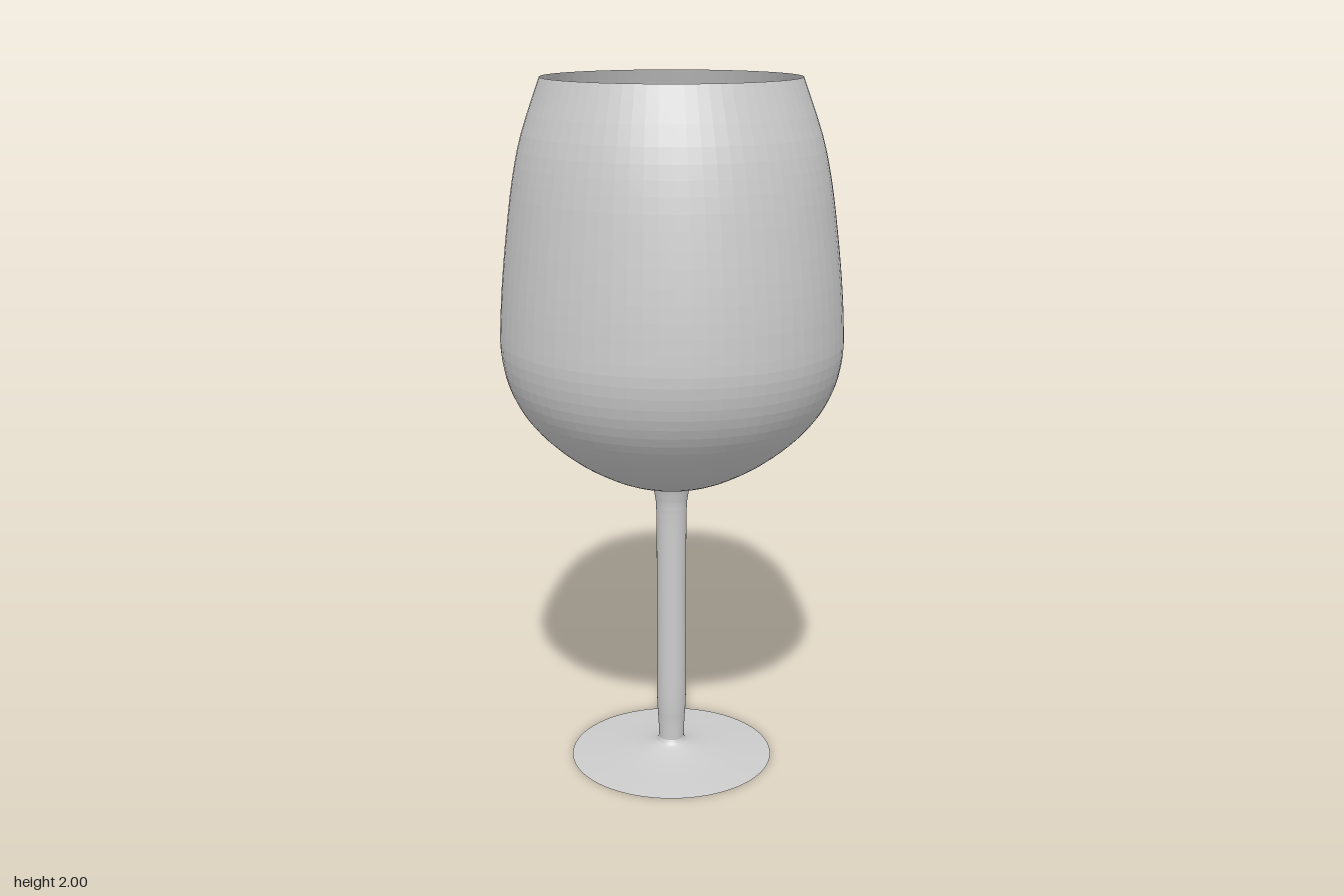
import * as THREE from 'three';

const SEGMENTS = 72;
const material = new THREE.MeshStandardMaterial({
  color: 0xcccccc, flatShading: true, side: THREE.DoubleSide,
});

// Thin shell turned from a smooth curve through [radius, height] points
function turned(name, points, rings) {
  const curve = new THREE.SplineCurve(points.map(([r, y]) => new THREE.Vector2(r, y)));
  const mesh = new THREE.Mesh(new THREE.LatheGeometry(curve.getPoints(rings), SEGMENTS), material);
  mesh.name = name;
  return mesh;
}

export function createModel() {
  const glass = new THREE.Group();
  glass.name = 'wineGlass';

  // Wide, nearly flat foot sweeping up into the stem
  const foot = turned('foot', [
    [0.298, 0.002], [0.24, 0.007], [0.17, 0.013], [0.11, 0.021], [0.07, 0.031], [0.046, 0.042], [0.037, 0.055],
  ], 24);

  // Hollow stem flaring at the top
  const stem = turned('stem', [
    [0.037, 0.055], [0.039, 0.11], [0.043, 0.19], [0.043, 0.4], [0.043, 0.6], [0.044, 0.77],
    [0.049, 0.82], [0.056, 0.85], [0.066, 0.875],
  ], 32);

  // Raised throat inside the bowl, folding down to the bowl's lowest ring
  const throat = turned('throat', [
    [0.066, 0.875], [0.076, 0.889], [0.09, 0.893], [0.11, 0.885], [0.13, 0.876], [0.15, 0.873],
  ], 10);

  // Bowl
  const bowl = turned('bowl', [
    [0.15, 0.873], [0.2, 0.895], [0.28, 0.942], [0.36, 1.008], [0.42, 1.08], [0.458, 1.16],
    [0.475, 1.25], [0.473, 1.34], [0.464, 1.46], [0.449, 1.6], [0.432, 1.73], [0.407, 1.85], [0.357, 2],
  ], 36);
  // The belly is slightly deeper than it is wide; the rim stays round
  const pos = bowl.geometry.attributes.position;
  for (let i = 0; i < pos.count; i++) {
    const t = THREE.MathUtils.clamp((pos.getY(i) - 0.95) / 1.05, 0, 1);
    pos.setZ(i, pos.getZ(i) * (1 + 0.042 * Math.sin(Math.PI * t)));
  }
  bowl.geometry.computeVertexNormals();

  glass.add(foot, stem, throat, bowl);
  return glass;
}
